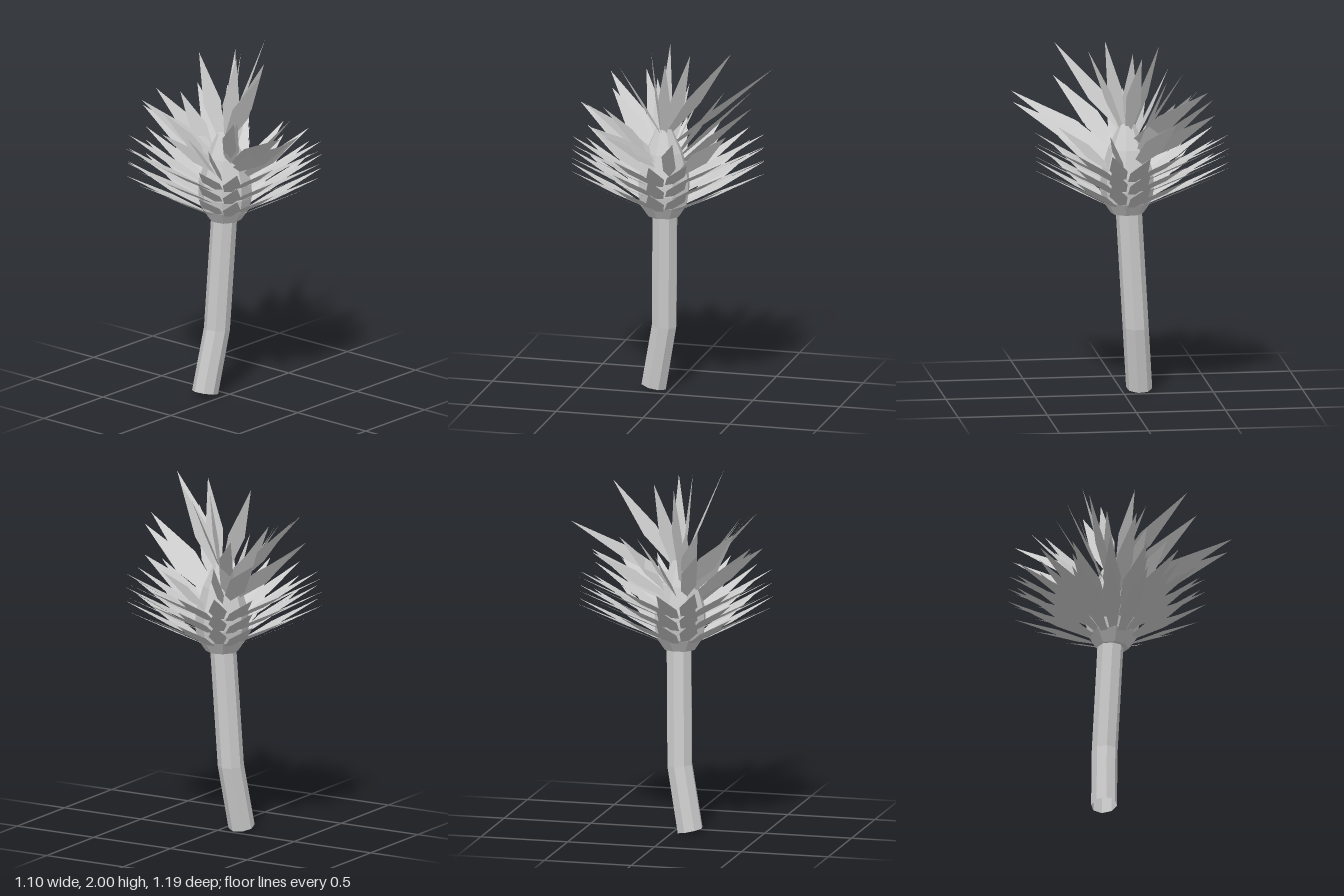
import * as THREE from 'three';

const V = (x, y, z) => new THREE.Vector3(x, y, z);
const AXIS = V(-0.018, 0, -0.018);

// Adds one flat, pointed blade from base to tip, rolled about its own length
function addLeaf(out, base, tip, width, roll) {
  const dir = tip.clone().sub(base);
  const side = V(dir.z, 0, -dir.x).normalize().applyAxisAngle(dir.clone().normalize(), roll);
  const at = (t, s) => base.clone().addScaledVector(dir, t).addScaledVector(side, s * width);
  const p = [at(0, -0.2), at(0, 0.2), at(0.4, 0.5), at(1, 0), at(0.4, -0.5)];
  for (const [a, b, c] of [[0, 1, 2], [0, 2, 4], [4, 2, 3]]) {
    for (const q of [p[a], p[b], p[c]]) out.push(q.x, q.y, q.z);
  }
}

// Point on the core at height y and radius r, on the side facing the tip
function rootFacing([x, , z], r, y) {
  const a = Math.atan2(z - AXIS.z, x - AXIS.x);
  return V(AXIS.x + r * Math.cos(a), y, AXIS.z + r * Math.sin(a));
}

function leafMesh(name, positions, material) {
  const g = new THREE.BufferGeometry();
  g.setAttribute('position', new THREE.Float32BufferAttribute(positions, 3));
  g.computeVertexNormals();
  const m = new THREE.Mesh(g, material);
  m.name = name;
  return m;
}

export function createModel() {
  const model = new THREE.Group();
  model.name = 'spikyPlant';
  const grey = new THREE.MeshStandardMaterial({ color: 0xcccccc, flatShading: true, side: THREE.DoubleSide });
  grey.name = 'pale grey';

  // Bent eight-sided stem, open at the bottom
  const stemGeo = new THREE.CylinderGeometry(0.073, 0.073, 2, 8, 2, true, Math.PI / 8 + 0.2);
  const rings = [V(-0.097, 0.018, -0.097), V(-0.03, 0.38, -0.068), V(-0.015, 1.04, -0.028)];
  const tilts = [-0.22, -0.1, 0];
  const pos = stemGeo.attributes.position;
  for (let i = 0; i < pos.count; i++) {
    const k = Math.round(pos.getY(i) + 1);
    const x = pos.getX(i), c = rings[k];
    pos.setXYZ(i, c.x + x, c.y + x * tilts[k], c.z + pos.getZ(i));
  }
  stemGeo.computeVertexNormals();
  const stem = new THREE.Mesh(stemGeo, grey);
  stem.name = 'stem';
  model.add(stem);

  // Collar and tapering core that carry the leaves
  const profile = [[0.06, 1.03], [0.09, 1.03], [0.138, 1.1], [0.15, 1.17], [0.148, 1.25],
    [0.105, 1.4], [0.045, 1.53], [0, 1.53]].map(([r, y]) => new THREE.Vector2(r, y));
  const core = new THREE.Mesh(new THREE.LatheGeometry(profile, 8, Math.PI / 8 + 0.2), grey);
  core.name = 'core';
  core.position.copy(AXIS);
  model.add(core);

  // Three lower whorls of sixteen flat-lying leaves
  for (let row = 0; row < 3; row++) {
    const out = [];
    for (let i = 0; i < 16; i++) {
      const a = (3.5 + 22.5 * i) * Math.PI / 180;
      const lift = (i % 2) * 0.012;
      const c = Math.cos(a), s = -Math.sin(a);
      const r = 0.553 - row * 0.003;
      addLeaf(out,
        V(AXIS.x + 0.125 * c, 1.085 + row * 0.07 + lift, AXIS.z + 0.125 * s),
        V(r * c, 1.298 + row * 0.077 + lift, -0.042 + r * s), 0.102, 0);
    }
    model.add(leafMesh('lowerLeaves' + (row + 1), out, grey));
  }

  // Upper leaves, rolled to one side, each given by its tip
  const upperTips = [
    [0.51, 1.81, -0.4], [0.37, 1.65, -0.46], [0.43, 1.62, -0.24], [0.38, 1.55, 0.13],
    [0.14, 1.56, 0.39], [-0.2, 1.64, 0.6], [-0.27, 1.69, 0.6],
    [-0.37, 1.75, 0.35], [-0.28, 1.72, 0.3], [-0.38, 1.56, 0.17], [-0.41, 1.61, 0.04],
    [-0.51, 1.64, -0.06], [-0.36, 1.7, -0.18], [-0.4, 1.76, -0.3], [-0.23, 1.66, -0.44],
    [-0.21, 1.77, -0.36], [0, 1.66, -0.5], [-0.12, 1.75, -0.26], [0.14, 1.72, -0.36], [0.27, 1.7, -0.25],
  ];
  const upper = [];
  for (const tip of upperTips) {
    const y = 1.29 + (tip[1] - 1.55) * 0.6;
    addLeaf(upper, rootFacing(tip, 0.13 - (y - 1.25) * 0.3, y), V(...tip), 0.105, -Math.PI / 4);
  }
  model.add(leafMesh('upperLeaves', upper, grey));

  // Crown of steep leaves at the summit
  const crownTips = [[-0.17, 1.98, 0.37], [-0.06, 2, 0.1], [0.05, 1.97, 0.21],
    [-0.03, 1.97, -0.2], [0.13, 1.96, -0.03], [0.36, 1.98, -0.05]];
  const crown = [];
  for (const tip of crownTips) {
    addLeaf(crown, rootFacing(tip, 0.03, 1.51), V(...tip), 0.1, -Math.PI / 4);
  }
  model.add(leafMesh('crownLeaves', crown, grey));

  return model;
}
